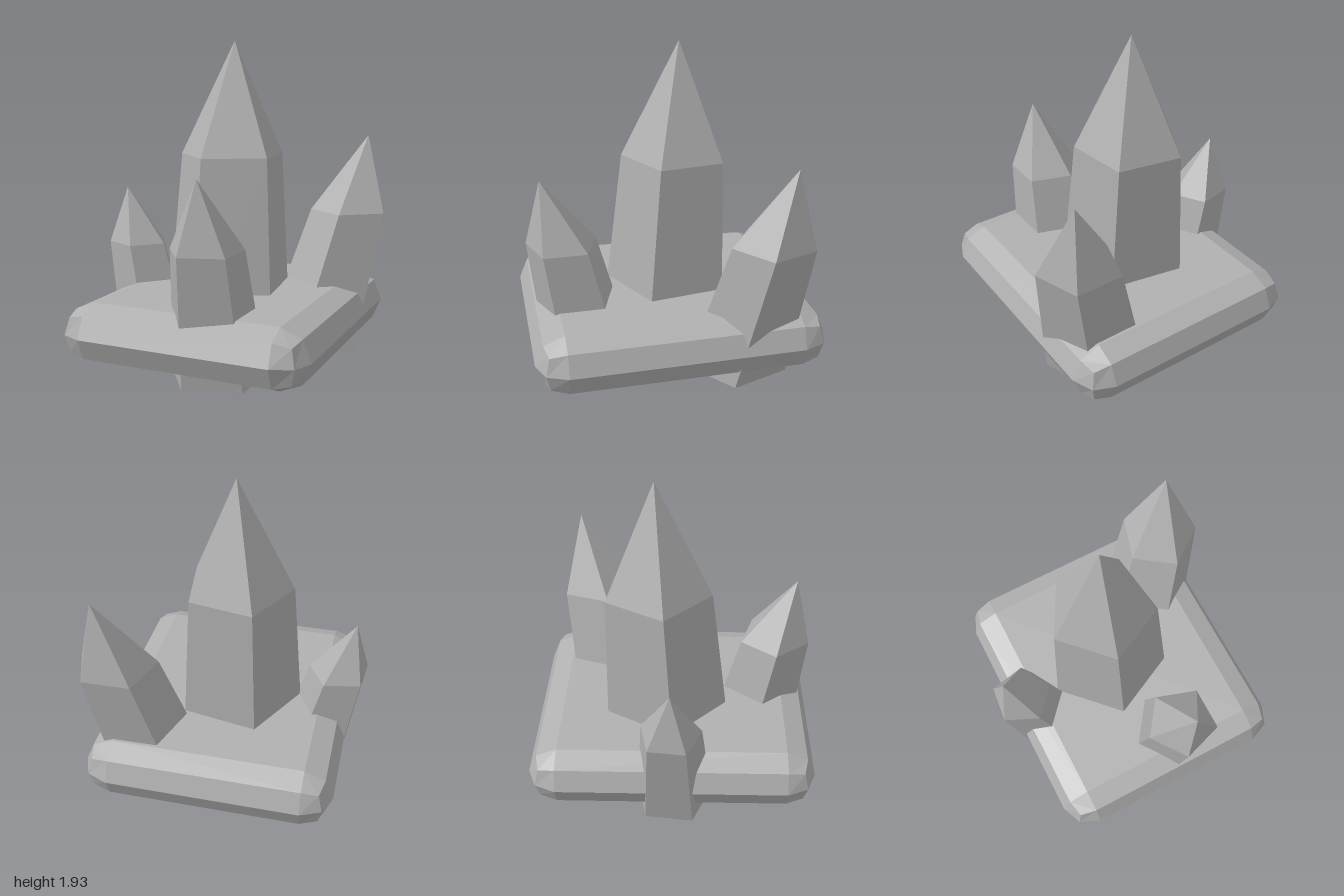
import * as THREE from 'three';
import { RoundedBoxGeometry } from 'three/addons/geometries/RoundedBoxGeometry.js';

const SIDES = 5;

// Pentagonal crystal: foot ring on the ground, shoulder ring, pointed tip.
// foot and shoulder are [x, y, z, radius], tip is [x, y, z], turn is in degrees.
function crystalGeometry({ foot, shoulder, tip, turn }) {
  const corner = ([x, y, z, r], i) => {
    const a = THREE.MathUtils.degToRad(turn) + (i * 2 * Math.PI) / SIDES;
    return [x + r * Math.cos(a), y, z + r * Math.sin(a)];
  };
  const centre = foot.slice(0, 3);
  const points = [];
  for (let i = 0; i < SIDES; i++) {
    const a = corner(foot, i), b = corner(foot, i + 1);
    const c = corner(shoulder, i), d = corner(shoulder, i + 1);
    points.push(a, c, b, b, c, d); // side wall
    points.push(c, tip, d);        // point
    points.push(centre, a, b);     // underside
  }
  const geometry = new THREE.BufferGeometry();
  geometry.setAttribute('position', new THREE.Float32BufferAttribute(points.flat(), 3));
  geometry.computeVertexNormals();
  return geometry;
}

const CRYSTALS = {
  mainCrystal: {
    foot: [0.015, 0, -0.06, 0.425], shoulder: [0.075, 1.23, -0.08, 0.335],
    tip: [0.09, 1.93, -0.075], turn: 29,
  },
  leftCrystal: {
    foot: [0.475, 0, 0.26, 0.32], shoulder: [0.67, 0.86, 0.405, 0.25],
    tip: [0.79, 1.335, 0.455], turn: 18,
  },
  rightCrystal: {
    foot: [-0.435, 0, 0.255, 0.29], shoulder: [-0.578, 0.77, 0.3, 0.223],
    tip: [-0.69, 1.185, 0.34], turn: 37,
  },
  backCrystal: {
    foot: [-0.165, 0, -0.51, 0.245], shoulder: [-0.195, 0.645, -0.655, 0.19],
    tip: [-0.22, 0.995, -0.735], turn: 7,
  },
};

export function createModel() {
  const model = new THREE.Group();
  model.name = 'crystalCluster';
  const stone = new THREE.MeshStandardMaterial({ color: 0xb0b0b0 });
  stone.name = 'grey stone';
  stone.flatShading = true;

  // Bevelled slab, turned on its vertical axis
  const slab = new THREE.Mesh(new RoundedBoxGeometry(1.744, 0.354, 1.514, 1, 0.177), stone);
  slab.name = 'slab';
  slab.position.y = 0.24;
  slab.rotation.y = 0.3;
  model.add(slab);

  // Crystals growing through the slab
  for (const [name, spec] of Object.entries(CRYSTALS)) {
    const crystal = new THREE.Mesh(crystalGeometry(spec), stone);
    crystal.name = name;
    model.add(crystal);
  }
  return model;
}
